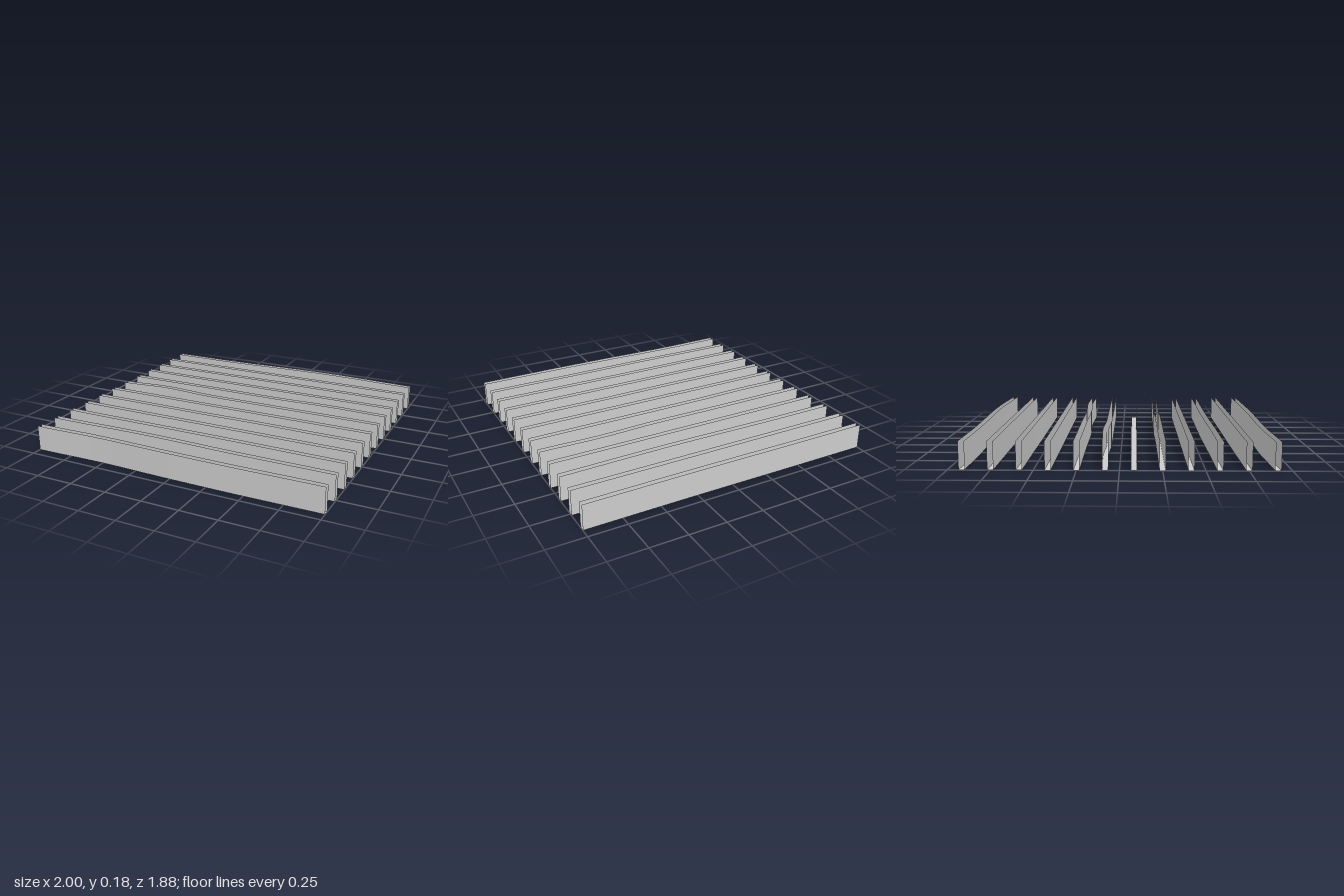
import * as THREE from 'three';

const COUNT = 12, PITCH = 1 / 6, WIDTH = 0.035, HEIGHT = 0.17, SEGMENTS = 24;

// Gentle warps by slat index: [centre x, half length, sideways shift, lift]
const WARPS = {
  0: [[0.3, 0.9, -0.009, 0.009]],
  2: [[0.25, 0.9, 0.005, 0.004]],
  4: [[0.6, 0.4, -0.011, 0], [0.1, 0.4, 0.003, 0]],
  5: [[-0.62, 0.4, -0.009, 0.009]],
  7: [[0.3, 0.45, -0.005, 0]],
  9: [[0.1, 0.9, -0.005, 0]],
  10: [[-0.25, 0.7, -0.004, 0.005]],
  11: [[-0.5, 0.5, -0.01, 0], [0.4, 0.6, 0.005, 0]],
};

// Smooth hump that fades to zero at the ends of its span
function hump(x, centre, half) {
  const t = Math.abs(x - centre) / half;
  return t < 1 ? 0.5 + 0.5 * Math.cos(Math.PI * t) : 0;
}

// Open U-shaped channel: front wall, floor and back wall
function channelGeometry(warps) {
  const profile = [
    [HEIGHT, WIDTH / 2], [0, WIDTH / 2], [0, -WIDTH / 2], [HEIGHT, -WIDTH / 2],
  ];
  const geometry = new THREE.PlaneGeometry(2, 1, SEGMENTS, profile.length - 1);
  const pos = geometry.attributes.position;
  for (let i = 0; i < pos.count; i++) {
    const x = pos.getX(i);
    let [y, z] = profile[Math.floor(i / (SEGMENTS + 1))];
    for (const [centre, half, shift, lift] of warps) {
      const h = hump(x, centre, half);
      z += shift * h;
      y += lift * h;
    }
    pos.setXYZ(i, x, y, z);
  }
  geometry.computeVertexNormals();
  return geometry;
}

export function createModel() {
  const group = new THREE.Group();
  group.name = 'slatRow';
  const material = new THREE.MeshStandardMaterial({
    color: 0xcccccc, flatShading: true, side: THREE.DoubleSide,
  });

  // Evenly spaced slats from back to front
  for (let i = 0; i < COUNT; i++) {
    const slat = new THREE.Mesh(channelGeometry(WARPS[i] || []), material);
    slat.name = `slat${i + 1}`;
    slat.position.z = (i - (COUNT - 1) / 2) * PITCH;
    group.add(slat);
  }
  return group;
}
